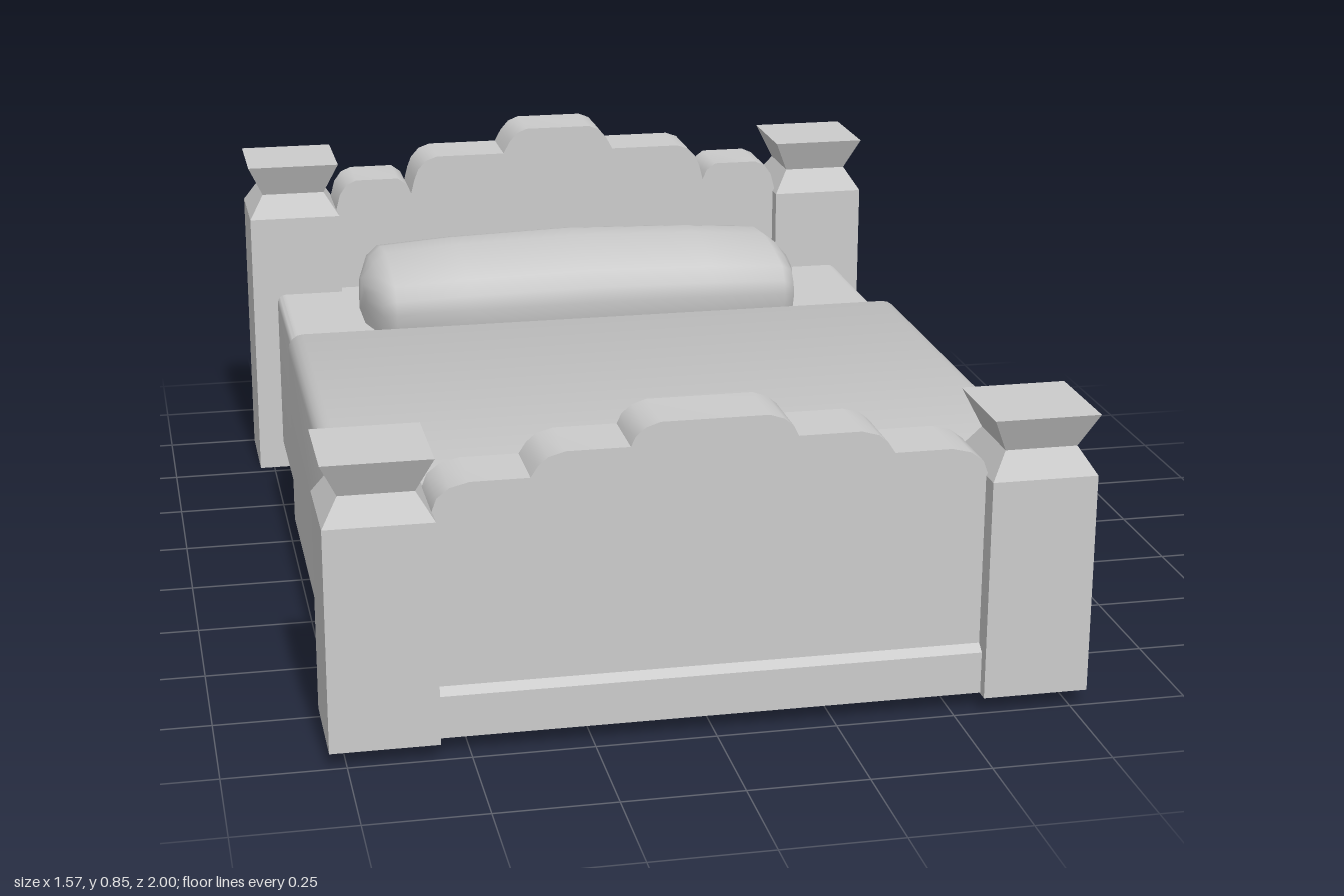
import * as THREE from 'three';
import { toCreasedNormals } from 'three/addons/utils/BufferGeometryUtils.js';

const smooth = new THREE.MeshStandardMaterial({ color: 0xcccccc });
const faceted = new THREE.MeshStandardMaterial({ color: 0xcccccc, flatShading: true });

function add(group, name, geometry, material = smooth) {
  const mesh = new THREE.Mesh(geometry, material);
  mesh.name = name;
  group.add(mesh);
  return mesh;
}

// Skin equal-length rings of [x, y, z]; rings run counter-clockwise seen from the last one.
function loft(rings, crease, capped) {
  const n = rings[0].length, index = [];
  for (let r = 0; r < rings.length - 1; r++) {
    for (let i = 0; i < n; i++) {
      const a = r * n + i, b = r * n + (i + 1) % n;
      index.push(a, b, b + n, a, b + n, a + n);
    }
  }
  const last = (rings.length - 1) * n;
  for (let i = 1; capped && i < n - 1; i++) {
    index.push(0, i + 1, i, last, last + i, last + i + 1);
  }
  const geometry = new THREE.BufferGeometry();
  geometry.setAttribute('position', new THREE.Float32BufferAttribute(rings.flat(2), 3));
  geometry.setIndex(index);
  return toCreasedNormals(geometry, crease);
}

// Square post with a pinched neck and a flared cap.
function postGeometry(bottom, shoulder, neck, top) {
  const profile = [[0, bottom], [0.111, bottom], [0.111, shoulder], [0.076, neck], [0.111, top], [0, top]];
  const points = profile.map(([half, y]) => new THREE.Vector2(half * Math.SQRT2, y));
  return new THREE.LatheGeometry(points, 4).rotateY(Math.PI / 4);
}

// Scalloped board mirrored from the right half of its top outline.
function boardGeometry(bottom, half, depth) {
  const outline = [
    [-0.57, bottom], [0.57, bottom],
    ...[...half].reverse(),
    ...half.map(([x, y]) => [-x, y]),
  ].map(([x, y]) => new THREE.Vector2(x, y));
  const geometry = new THREE.ExtrudeGeometry(new THREE.Shape(outline), { depth, bevelEnabled: false });
  return toCreasedNormals(geometry, 0.7);
}

// Skirting with a sloped top, running between two posts.
function plinthGeometry(bottom, inner, outer) {
  const s = Math.sign(outer);
  const section = [[inner, bottom], [outer, bottom], [outer, 0.125], [outer - s * 0.022, 0.14], [inner, 0.14]];
  const shape = new THREE.Shape(section.map(([z, y]) => new THREE.Vector2(-z, y)));
  return new THREE.ExtrudeGeometry(shape, { depth: 1.14, bevelEnabled: false })
    .rotateY(Math.PI / 2).translate(-0.57, 0, 0);
}

// Cross-section of bedding: recessed underside, straight sides, rounded upper edges.
function beddingRing(z, half, bottom, top, radius) {
  const ring = [
    [-half, bottom, z], [-0.715, bottom, z], [-0.69, 0.13, z],
    [0.69, 0.13, z], [0.715, bottom, z], [half, bottom, z],
  ];
  for (const side of [1, -1]) {
    for (let i = 0; i <= 4; i++) {
      const a = (side > 0 ? i : 4 - i) * Math.PI / 8;
      ring.push([
        side * (half - radius + radius * Math.cos(a)),
        top - radius + radius * Math.sin(a), z,
      ]);
    }
  }
  return ring;
}

export function createModel() {
  const bed = new THREE.Group();
  bed.name = 'bed';

  // Corner posts
  for (const x of [0.674, -0.674]) {
    const side = x > 0 ? 'Left' : 'Right';
    add(bed, 'headPost' + side, postGeometry(0, 0.655, 0.71, 0.787), faceted).position.set(x, 0, -0.889);
    add(bed, 'footPost' + side, postGeometry(0.033, 0.505, 0.56, 0.635), faceted).position.set(x, 0, 0.889);
  }

  // Headboard and footboard
  const headOutline = [
    [0.08, 0.848], [0.105, 0.838], [0.125, 0.815], [0.14, 0.787], [0.31, 0.787], [0.338, 0.777],
    [0.358, 0.755], [0.368, 0.73], [0.377, 0.695], [0.387, 0.718], [0.41, 0.735], [0.515, 0.735],
    [0.54, 0.724], [0.557, 0.7], [0.57, 0.65],
  ];
  const footOutline = [
    [0.11, 0.665], [0.14, 0.655], [0.16, 0.638], [0.17, 0.617], [0.3, 0.617], [0.335, 0.607],
    [0.355, 0.59], [0.37, 0.567], [0.49, 0.567], [0.53, 0.557], [0.556, 0.537], [0.57, 0.5],
  ];
  add(bed, 'headboard', boardGeometry(0.005, headOutline, 0.145)).position.z = -0.96;
  add(bed, 'footboard', boardGeometry(0.035, footOutline, 0.145)).position.z = 0.81;
  add(bed, 'headPlinth', plinthGeometry(0.005, -0.82, -0.985), faceted);
  add(bed, 'footPlinth', plinthGeometry(0.035, 0.82, 0.975), faceted);

  // Mattress, and the blanket with its chamfered open end
  add(bed, 'mattress', loft([
    beddingRing(-0.85, 0.725, 0.07, 0.458, 0.02),
    beddingRing(0.84, 0.725, 0.07, 0.458, 0.02),
  ], 0.7, false));
  add(bed, 'blanket', loft([
    beddingRing(-0.32, 0.727, 0.07, 0.46, 0.025),
    beddingRing(-0.305, 0.734, 0.055, 0.485, 0.03),
    beddingRing(-0.28, 0.74, 0.045, 0.505, 0.035),
    beddingRing(0.84, 0.74, 0.045, 0.505, 0.035),
  ], 0.8, false));

  // Pillow: one plump section [z, y], shrinking toward both ends
  const section = [
    [-0.95, 0.455], [-1, 0.52], [-0.96, 0.565], [-0.83, 0.6], [-0.45, 0.624], [0, 0.635],
    [0.45, 0.622], [0.85, 0.6], [0.96, 0.565], [1, 0.53], [0.9, 0.455],
  ];
  // Stations [x, half depth, height factor]
  const stations = [
    [0.535, 0.07, 0.55], [0.505, 0.2, 0.75], [0.475, 0.228, 0.88], [0.3, 0.236, 0.95],
  ];
  const mirrored = stations.map(([x, w, h]) => [-x, w, h]);
  const rings = [...mirrored, [0, 0.24, 1], ...stations.reverse()].map(([x, w, h]) =>
    section.map(([z, y]) => [x, 0.455 + (y - 0.455) * h, -0.56 + z * w]));
  add(bed, 'pillow', loft(rings, 1.2, true));

  return bed;
}
